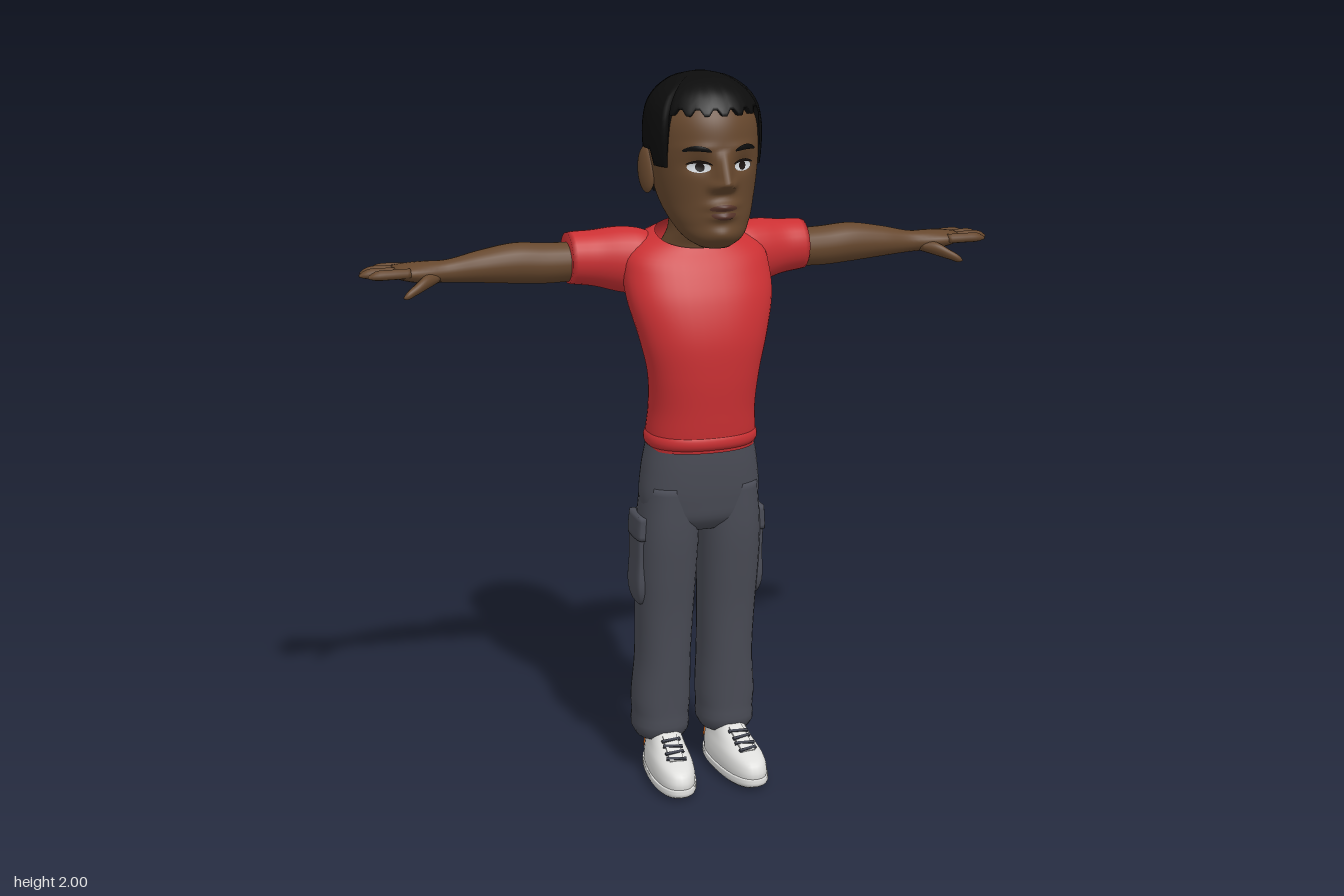
import * as THREE from 'three';

const material = (name, color, side = THREE.FrontSide) => {
  const m = new THREE.MeshStandardMaterial({ color, side });
  m.name = name;
  return m;
};

// Smooth interpolation through rows of [position, value, value, ...]
function profile(rows) {
  const size = rows[0].length - 1;
  const curve = new THREE.CubicInterpolant(
    rows.map(r => r[0]), rows.flatMap(r => r.slice(1)), size, new Float32Array(size));
  return t => Array.from(curve.evaluate(t));
}
const spread = (a, b, n) => Array.from({ length: n + 1 }, (_, i) => a + (b - a) * i / n);
const sgnPow = (v, p) => Math.sign(v) * Math.abs(v) ** p;

// Skin a list of point rings, with fans closing the ends when wanted
function skin(rings, { closed = true, caps = true } = {}) {
  const n = rings[0].length, pos = rings.flat(2), idx = [];
  for (let i = 0; i < rings.length - 1; i++) {
    for (let j = 0; j < (closed ? n : n - 1); j++) {
      const k = (j + 1) % n, a = i * n + j, b = i * n + k;
      idx.push(a, b, b + n, a, b + n, a + n);
    }
  }
  if (caps) [0, rings.length - 1].forEach((r, end) => {
    const c = pos.length / 3;
    pos.push(...[0, 1, 2].map(d => rings[r].reduce((s, p) => s + p[d], 0) / n));
    for (let j = 0; j < n; j++) {
      const a = r * n + j, b = r * n + (j + 1) % n;
      idx.push(...(end ? [a, b, c] : [b, a, c]));
    }
  });
  const g = new THREE.BufferGeometry();
  g.setAttribute('position', new THREE.Float32BufferAttribute(pos, 3));
  g.setIndex(idx);
  g.computeVertexNormals();
  return g;
}
const angles = n => Array.from({ length: n }, (_, j) => j / n * Math.PI * 2);

// Upright loft, rows: [y, centre x, half width, front z, back z, forward tilt]
function upright(rows, steps, { n = 32, power = 1, arc = angles(n), grow = 0, ...opt } = {}) {
  const at = profile(rows);
  return skin(spread(rows[0][0], rows.at(-1)[0], steps).map(y => {
    const [cx, w, zf, zb, tilt = 0] = at(y);
    return arc.map(a => [
      cx + (w + grow) * sgnPow(Math.sin(a), power),
      y - tilt * Math.cos(a),
      (zf + zb) / 2 + ((zf - zb) / 2 + grow) * sgnPow(Math.cos(a), power)]);
  }), opt);
}
// Sideways loft, rows: [x, centre y, half height, centre z, half depth]
function sideways(rows, steps, n = 20) {
  const at = profile(rows);
  return skin(spread(rows[0][0], rows.at(-1)[0], steps).map(x => {
    const [cy, ry, cz, rz] = at(x);
    return angles(n).map(a => [x, cy + ry * Math.cos(a), cz + rz * Math.sin(a)]);
  }));
}

// Head outline: [y, half width, front z, back z]
const headAt = profile([
  [1.555, .04, .135, .05], [1.575, .072, .157, .01], [1.62, .104, .163, -.06], [1.68, .126, .162, -.13],
  [1.75, .139, .163, -.155], [1.82, .145, .162, -.165], [1.9, .138, .143, -.16], [1.96, .1, .09, -.12], [1.985, .05, .03, -.07]]);
const hairAt = profile([
  [1.66, .118, .15, -.15], [1.72, .141, .16, -.176], [1.8, .154, .168, -.186], [1.88, .154, .164, -.182],
  [1.93, .14, .143, -.165], [1.97, .103, .098, -.13], [1.99, .063, .045, -.09], [2, .015, -.01, -.04]]);
const gauss = (x, y, cx, cy, sx, sy) => Math.exp(-(((x - cx) / sx) ** 2) - ((y - cy) / sy) ** 2);

// Nose, lips, chin, brows and eye sockets as relief on the face
function relief(x, y) {
  const ax = Math.abs(x);
  const ridge = y > 1.73 ? Math.max(0, (1.815 - y) / .085) : Math.max(0, 1 - (1.73 - y) / .03);
  return .047 * ridge * Math.exp(-((x / .02) ** 2))
    + .018 * gauss(ax, y, .024, 1.722, .013, .014)
    + .02 * gauss(x, y, 0, 1.669, .036, .013) + .017 * gauss(x, y, 0, 1.643, .032, .012)
    + .01 * gauss(x, y, 0, 1.595, .04, .02) + .005 * gauss(ax, y, .06, 1.82, .04, .012)
    - .012 * gauss(ax, y, .06, 1.775, .032, .02);
}
function faceZ(x, y) {
  const [w, zf, zb] = headAt(y);
  return (zf + zb) / 2 + (zf - zb) / 2 * Math.sqrt(Math.max(0, 1 - (x / w) ** 2)) + relief(x, y);
}
// Thin elliptical plate laid on the face
function facePlate(cx, cy, rx, ry, lift, arch = 0) {
  const g = new THREE.RingGeometry(.001, 1, 28, 5), p = g.attributes.position;
  for (let i = 0; i < p.count; i++) {
    const u = p.getX(i), x = cx + rx * u, y = cy + ry * p.getY(i) - arch * u * u;
    p.setXYZ(i, x, y, faceZ(x, y) + lift);
  }
  g.computeVertexNormals();
  return g;
}

export function createModel() {
  const skinTone = material('brown skin', 0x66472d), hair = material('black hair', 0x0c0c0c, THREE.DoubleSide);
  const red = material('red cloth', 0xcb3033, THREE.DoubleSide), grey = material('slate cloth', 0x4a4c56);
  const white = material('shoe white', 0xdededc), orange = material('orange heel', 0xdd6a1c, THREE.DoubleSide);
  const dark = material('dark rubber', 0x41444f), lip = material('lip brown', 0x573429);
  const eyeWhite = material('eye white', 0xd4d8dc), iris = material('eye dark', 0x1c1512);
  const model = new THREE.Group();
  const add = (name, geometry, mat) => {
    const mesh = new THREE.Mesh(geometry, mat);
    mesh.name = name;
    model.add(mesh);
  };
  const pair = (name, geometry, mat) => {
    add('left' + name, geometry, mat);
    const g = geometry.clone().scale(-1, 1, 1), ix = g.index;
    for (let i = 0; i < ix.count; i += 3) {
      const a = ix.getX(i);
      ix.setX(i, ix.getX(i + 2));
      ix.setX(i + 2, a);
    }
    g.computeVertexNormals();
    add('right' + name, g, mat);
  };

  // Head and face
  add('head', skin(spread(1.555, 1.985, 76).map(y => {
    const [w, zf, zb] = headAt(y);
    return angles(84).map(a => {
      const x = w * Math.sin(a), c = Math.cos(a);
      return [x, y, (zf + zb) / 2 + (zf - zb) / 2 * c + (c > 0 ? relief(x, y) * Math.min(1, c * 3) : 0)];
    });
  })), skinTone);
  add('neck', upright([[1.49, 0, .108, .012, -.13], [1.54, 0, .1, .008, -.127], [1.58, 0, .084, .03, -.115],
    [1.64, 0, .082, .05, -.112], [1.7, 0, .085, .05, -.115]], 14), skinTone);
  pair('Ear', new THREE.SphereGeometry(1, 18, 12).scale(.016, .062, .034).rotateY(-.3).rotateX(-.15)
    .translate(.146, 1.745, -.035), skinTone);
  pair('Eye', facePlate(.06, 1.77, .028, .013, .003), eyeWhite);
  pair('Iris', facePlate(.058, 1.771, .011, .0115, .005), iris);
  pair('UpperLid', facePlate(.06, 1.785, .031, .004, .006, .007), iris);
  pair('Eyebrow', facePlate(.066, 1.82, .034, .007, .004, .008), hair);
  add('upperLip', facePlate(0, 1.667, .038, .009, .002, .004), lip);
  add('lowerLip', facePlate(0, 1.644, .034, .009, .002, -.004), lip);

  // Hair cap with fringe, sideburns and a cut-out round each ear
  const hairEdge = (a, j) => {
    const t = Math.min(a, Math.PI * 2 - a);
    if (t < .95) return j % 4 < 2 ? 1.9 : 1.916;
    if (t < 1.38) return 1.765;
    return t < 1.84 ? 1.805 : 1.685;
  };
  const hairRow = (v, k) => angles(80).map((a, j) => {
    const low = hairEdge(a, j), y = low + (2 - low) * Math.sin(v * Math.PI / 2);
    const [w, zf, zb] = hairAt(y);
    return [k * w * Math.sin(a), y, (zf + zb) / 2 + k * (zf - zb) / 2 * Math.cos(a)];
  });
  add('hair', skin([hairRow(0, .88), ...spread(0, 1, 18).map(v => hairRow(v, 1))].map((r, i, all) =>
    i === all.length - 1 ? r.map(p => [p[0], 2, p[2]]) : r), { caps: false }), hair);
  add('hairCrown', new THREE.CircleGeometry(1, 24).rotateX(-Math.PI / 2).scale(.016, 1, .016)
    .translate(0, 1.9995, -.025), hair);

  // Shirt
  add('shirtBody', upright([
    [.985, 0, .15, .088, -.14, 0], [1.02, 0, .152, .095, -.143, 0], [1.1, 0, .147, .104, -.13, 0], [1.2, 0, .155, .113, -.104, 0],
    [1.3, 0, .178, .112, -.112, 0], [1.4, 0, .202, .088, -.145, 0], [1.47, 0, .204, .058, -.172, .005],
    [1.52, 0, .192, .036, -.178, .018], [1.55, 0, .155, .022, -.16, .028], [1.567, 0, .112, .014, -.134, .032]],
  40, { n: 44, power: .88, caps: false }), red);
  add('shirtHem', upright([[.99, 0, .148, .086, -.138], [1.0, 0, .155, .096, -.146], [1.025, 0, .155, .098, -.146],
    [1.035, 0, .148, .092, -.14]], 6, { n: 44, power: .88 }), red);
  pair('Sleeve', sideways([[.1, 1.485, .075, -.1, .06], [.15, 1.488, .09, -.11, .075], [.2, 1.492, .089, -.125, .08],
    [.27, 1.497, .076, -.138, .073], [.325, 1.5, .071, -.14, .07], [.338, 1.5, .069, -.14, .068]], 18, 28), red);

  // Arms, hands and fingers
  pair('Arm', sideways([[.3, 1.49, .052, -.142, .055], [.4, 1.49, .055, -.145, .056], [.48, 1.495, .055, -.145, .054],
    [.58, 1.492, .043, -.143, .045], [.67, 1.486, .03, -.142, .033], [.72, 1.486, .029, -.146, .045],
    [.77, 1.488, .024, -.15, .055], [.81, 1.491, .015, -.152, .052]], 32), skinTone);
  [[-.194, .862], [-.165, .892], [-.135, .9], [-.107, .882]].forEach(([z, tip], i) => {
    const r = .0135, spreadZ = (i - 1.5) * .004;
    pair('Finger' + (i + 1), sideways([[.77, 1.492, r, z, r], [.82, 1.493, r, z + spreadZ, r],
      [tip - .015, 1.492, .011, z + spreadZ, .012], [tip, 1.489, .003, z + spreadZ, .004]], 12, 10), skinTone);
  });
  pair('Thumb', sideways([[.69, 1.475, .014, -.13, .02], [.73, 1.468, .019, -.1, .02],
    [.765, 1.452, .014, -.078, .015], [.79, 1.44, .009, -.066, .009], [.798, 1.437, .002, -.063, .002]], 14, 12), skinTone);

  // Trousers
  add('trouserHips', upright([[.75, 0, .1, .025, -.1], [.78, 0, .15, .052, -.125], [.83, 0, .168, .065, -.138],
    [.92, 0, .164, .076, -.143], [1.01, 0, .148, .08, -.135]], 20, { n: 40, power: .85 }), grey);
  pair('TrouserLeg', upright([
    [.115, .098, .07, -.025, -.175], [.135, .098, .08, -.012, -.186], [.18, .097, .079, -.01, -.185], [.21, .097, .082, -.008, -.184],
    [.35, .093, .077, .003, -.175], [.5, .092, .08, .018, -.16], [.62, .092, .084, .036, -.152], [.74, .09, .085, .052, -.144],
    [.88, .084, .078, .06, -.135]], 40, { n: 28, power: .85 }), grey);
  pair('CargoPocket', upright([[.53, .166, .012, -.03, -.11], [.56, .17, .016, -.015, -.122],
    [.66, .17, .015, -.01, -.115], [.75, .171, .015, -.003, -.11]], 12, { n: 20, power: .5 }), grey);
  pair('PocketFlap', upright([[.725, .172, .016, .004, -.116], [.74, .172, .016, .004, -.115],
    [.79, .17, .014, .006, -.11]], 6, { n: 20, power: .5 }), grey);

  // Shoes, toes turned slightly outward
  const upper = [[.026, 0, .06, .15, -.168], [.055, 0, .061, .15, -.168], [.082, 0, .056, .128, -.165],
    [.1, 0, .05, .075, -.163], [.122, 0, .045, .02, -.16], [.14, 0, .042, -.01, -.158]];
  const place = g => g.rotateY(.08).translate(.1, 0, .002);
  pair('ShoeUpper', place(upright(upper, 18, { n: 32, power: .85 })), white);
  pair('ShoeSole', place(upright([[.005, 0, .055, .135, -.158], [.014, 0, .063, .152, -.172],
    [.036, 0, .064, .155, -.173]], 6, { n: 32, power: .85 })), white);
  pair('ShoeTread', place(upright([[0, 0, .05, .125, -.15], [.0055, 0, .054, .133, -.157]], 1, { n: 32, power: .85 })), dark);
  pair('ShoeHeel', place(upright(upper.slice(1), 10, {
    arc: spread(Math.PI - .8, Math.PI + .8, 14), power: .85, grow: .004, closed: false, caps: false })), orange);
  pair('ShoeTongue', place(new THREE.BoxGeometry(.04, .006, .1).rotateX(.4).translate(0, .115, .04)), white);
  for (let i = 0; i < 4; i++) {
    pair('Lace' + (i + 1), place(new THREE.BoxGeometry(.056, .006, .009).rotateX(.4).rotateY(i % 2 ? .2 : -.2)
      .translate(0, .129 - i * .0095, .014 + i * .022)), dark);
  }
  return model;
}
